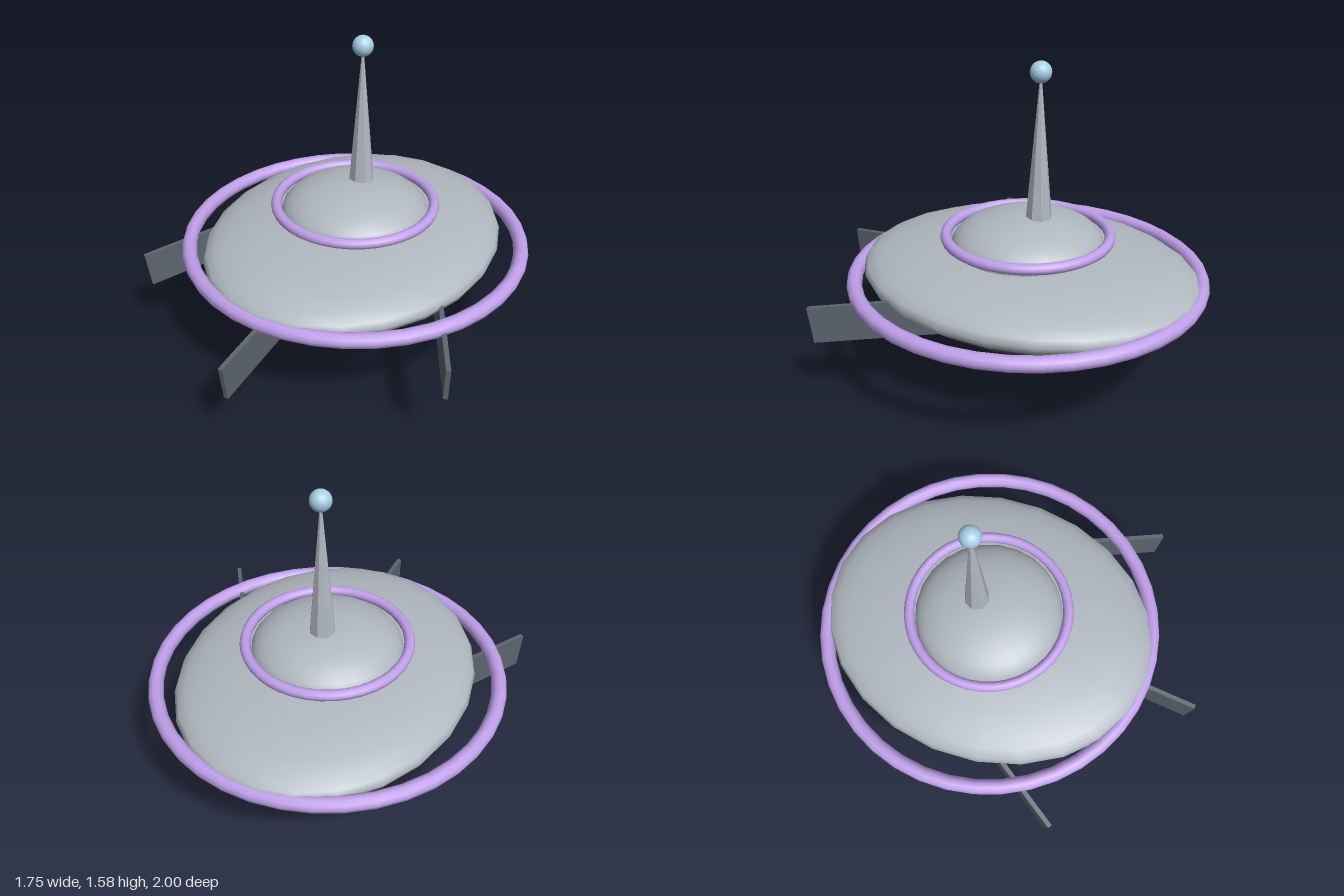
import * as THREE from 'three';

const mat = (color, flatShading = false) => new THREE.MeshStandardMaterial({ color, flatShading });

export function createModel() {
  const model = new THREE.Group();
  const cz = -0.125; // centre of the saucer

  const add = (name, geometry, material, x, y, z) => {
    const mesh = new THREE.Mesh(geometry, material);
    mesh.name = name;
    mesh.position.set(x, y, z);
    model.add(mesh);
    return mesh;
  };

  const hullMat = mat(0xb0b8c0);
  const bellyMat = mat(0x3c4045);
  const ringMat = mat(0xc0a0ea);
  const glowMat = mat(0xa8d0e6);
  const finMat = mat(0x5c656e, true);

  // Squashed spheres of the saucer
  const ellipsoid = (name, rx, ry, rz, y, material) =>
    add(name, new THREE.SphereGeometry(1, 24, 16).scale(rx, ry, rz), material, 0, y, cz);
  ellipsoid('hull', 0.71, 0.16, 0.855, 0.55, hullMat);
  ellipsoid('belly', 0.6, 0.11, 0.775, 0.455, bellyMat);
  ellipsoid('dome', 0.37, 0.155, 0.37, 0.69, hullMat);

  // Rings around the hull and the dome
  const ring = (name, radius, tube, y) =>
    add(name, new THREE.TorusGeometry(radius, tube, 10, 40).rotateX(Math.PI / 2), ringMat, 0, y, cz);
  ring('outerRing', 0.838, 0.037, 0.535);
  ring('domeRing', 0.394, 0.026, 0.737);

  // Mast with its ball
  add('mast', new THREE.CylinderGeometry(0.005, 0.066, 0.7, 8), mat(0xb0b8c0, true), 0, 1.15, -0.185);
  add('mastBall', new THREE.SphereGeometry(0.05, 20, 14), glowMat, 0, 1.53, -0.185);

  // Spike under the belly
  add('spike', new THREE.ConeGeometry(0.104, 0.4, 6).rotateX(Math.PI), mat(0xa8d0e6, true), 0, 0.2, -0.04);

  // Tilted fins, placed by their outer top corner
  const finShape = new THREE.BoxGeometry(0.022, 0.18, 0.7).translate(0, -0.09, -0.35);
  const fin = (name, x, y, z, yaw) =>
    add(name, finShape, finMat, x, y, z).rotation.set(0.12, yaw, 0, 'YXZ');
  fin('frontFin', 0, 0.49, 1, 0);
  for (const side of [-1, 1]) {
    fin(side > 0 ? 'leftFin' : 'rightFin', side * 0.83, 0.508, 0.54, side * Math.PI / 6);
  }

  return model;
}
